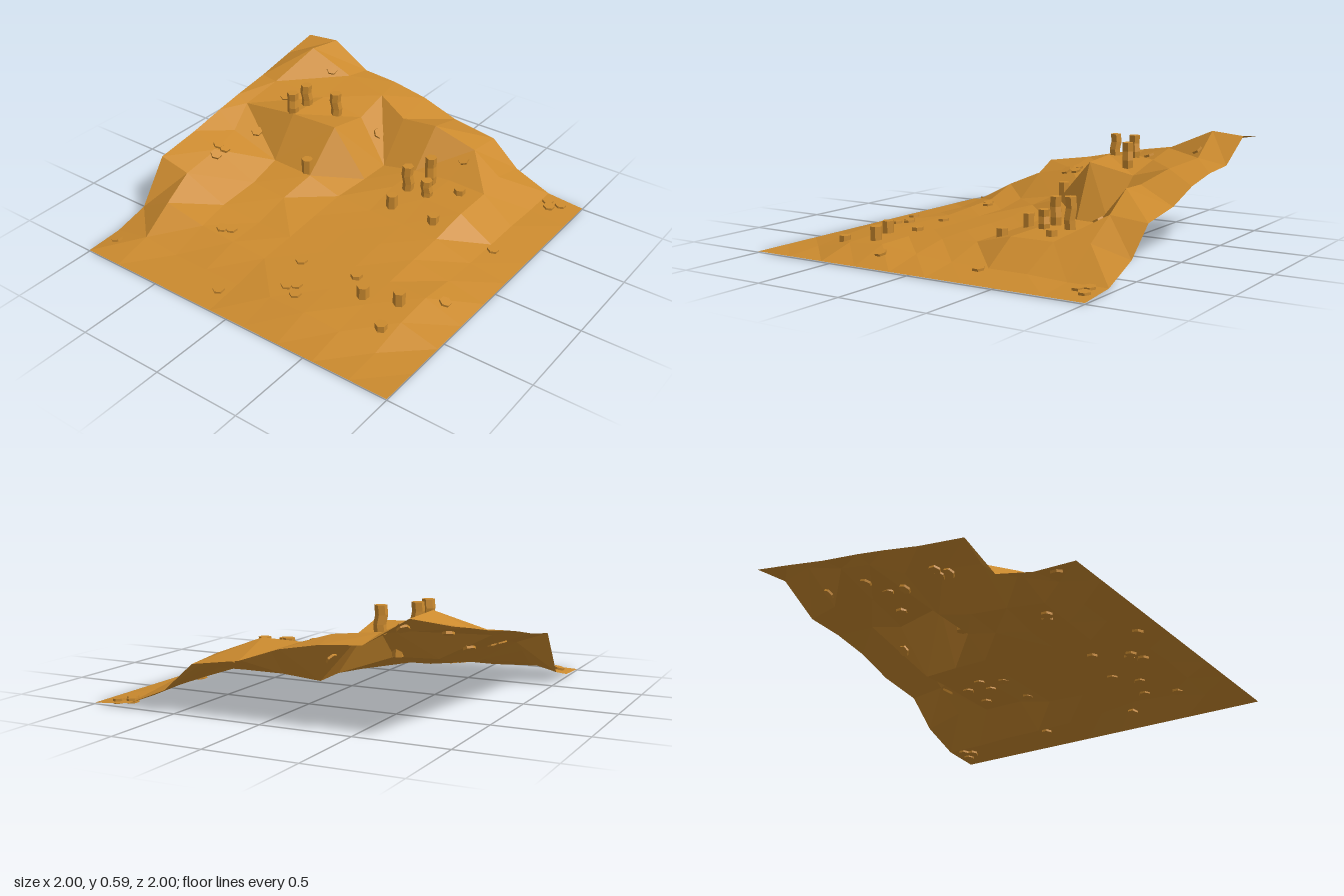
import * as THREE from 'three';

const sand = new THREE.MeshStandardMaterial({ color: 0xcb8a2e, flatShading: true, side: THREE.DoubleSide });
sand.name = 'sand';

// Height grid: rows run back to front, columns from -x to +x
const N = 10;
const heights = [
  [.55, .57, .43, .415, .375, .3, .26, .11, .02, 0],
  [.51, .585, .46, .43, .365, .375, .28, .165, .02, 0],
  [.46, .46, .43, .375, .13, .155, .16, .155, .03, 0],
  [.425, .395, .44, .43, .135, .155, .16, .155, .03, 0],
  [.395, .315, .21, .2, .12, .11, .105, .1, .035, 0],
  [.35, .295, .16, .14, .105, .1, .1, .09, .05, 0],
  [.31, .25, .12, .09, .085, .08, .08, .08, .075, 0],
  [.06, .165, .1, .085, .07, .07, .07, .07, .06, 0],
  [.01, .055, .03, .03, .03, .05, .055, .04, .015, 0],
  [0, 0, 0, 0, 0, 0, 0, 0, 0, 0],
];

// Cliff corners pulled off the regular grid: 'row,column': [x, z]
const shifted = {
  '0,1': [-.79, -1], '0,6': [.385, -1],
  '1,1': [-.82, -.8], '1,2': [-.56, -.83], '1,3': [-.285, -.785], '1,4': [-.08, -.72],
  '1,5': [.13, -.745], '1,6': [.38, -.785],
  '2,0': [-1, -.52], '2,1': [-.88, -.5], '2,3': [-.285, -.57], '2,4': [-.085, -.53],
  '2,5': [.12, -.56], '2,6': [.34, -.58], '2,7': [.575, -.58],
  '3,0': [-1, -.28], '3,1': [-.92, -.27], '3,2': [-.56, -.27], '3,3': [-.28, -.3],
  '3,4': [-.085, -.33], '3,7': [.575, -.33],
  '4,1': [-.86, -.08], '4,2': [-.56, -.09], '4,3': [-.3, -.09],
  '5,1': [-.82, .13], '6,0': [-1, .39], '6,1': [-.83, .37], '6,2': [-.58, .35],
  '7,0': [-1, .57], '7,1': [-.8, .57],
};

// Cells folded along the other diagonal
const folded = new Set(['1,3', '1,6', '3,1', '5,3', '7,0', '7,4']);

function point(r, c) {
  const [x, z] = shifted[`${r},${c}`] ?? [-1 + 2 * c / (N - 1), -1 + 2 * r / (N - 1)];
  return new THREE.Vector3(x, heights[r][c], z);
}

// Two triangles per grid cell
const triangles = [];
for (let r = 0; r < N - 1; r++) {
  for (let c = 0; c < N - 1; c++) {
    const a = point(r, c), b = point(r + 1, c), d = point(r, c + 1), e = point(r + 1, c + 1);
    if (folded.has(`${r},${c}`)) triangles.push(new THREE.Triangle(a, b, e), new THREE.Triangle(a, e, d));
    else triangles.push(new THREE.Triangle(a, b, d), new THREE.Triangle(b, e, d));
  }
}

// Ground height and normal under a spot
function groundAt(x, z) {
  for (const t of triangles) {
    const flat = [t.a, t.b, t.c].map(p => new THREE.Vector3(p.x, 0, p.z));
    const w = THREE.Triangle.getBarycoord(new THREE.Vector3(x, 0, z), ...flat, new THREE.Vector3());
    if (w && Math.min(w.x, w.y, w.z) >= -1e-6) {
      return { y: w.x * t.a.y + w.y * t.b.y + w.z * t.c.y, normal: t.getNormal(new THREE.Vector3()) };
    }
  }
  return { y: 0, normal: new THREE.Vector3(0, 1, 0) };
}

// Upright six-sided pillars: x, z, height of the top
const pillars = [
  [-.58, -.425, .56], [-.585, -.3, .56], [-.4, -.475, .54], [-.33, -.105, .295],
  [.195, -.365, .31], [.265, -.495, .33], [.32, -.37, .26], [.2, -.2, .205],
  [.46, -.5, .19], [.47, -.21, .17], [.51, .51, .14], [.69, .445, .145],
  [.715, .64, .08], [.39, .4, .095],
];

// Low six-sided stones lying on the slope: x, z
const stones = [
  [-.66, -.78], [-.19, -.615], [.355, -.71], [-.75, -.435], [-.755, -.16], [.81, -.295],
  [.815, -.92], [.89, -.935], [.845, -.875], [-.835, .09], [-.795, .085], [-.8, .155],
  [-.455, .505], [-.41, .48], [.07, .46], [.13, .66], [.17, .63], [.21, .69],
  [.86, .275], [-.93, .855], [-.17, .86],
];

export function createModel() {
  const model = new THREE.Group();

  // Faceted hillside
  const hill = new THREE.BufferGeometry().setFromPoints(triangles.flatMap(t => [t.a, t.b, t.c]));
  hill.computeVertexNormals();
  const terrain = new THREE.Mesh(hill, sand);
  terrain.name = 'terrain';
  model.add(terrain);

  // Pillars, the taller ones slightly kinked along their height
  pillars.forEach(([x, z, top], i) => {
    const base = groundAt(x, z).y - .01;
    const h = Math.max(top - base, .03);
    const geometry = new THREE.CylinderGeometry(.033, .033, h, 6, 3);
    const p = geometry.attributes.position;
    if (h > .09) {
      for (let k = 0; k < p.count; k++) {
        const kink = Math.sin((p.getY(k) / h + .5) * Math.PI * 2) * .004;
        p.setX(k, p.getX(k) + kink);
        p.setZ(k, p.getZ(k) + kink * (i % 2 ? 1 : -1));
      }
      geometry.computeVertexNormals();
    }
    const pillar = new THREE.Mesh(geometry, sand);
    pillar.name = 'pillar';
    pillar.position.set(x, base + h / 2, z);
    model.add(pillar);
  });

  // Stones tilted to follow the ground
  const stoneShape = new THREE.CylinderGeometry(.033, .033, .026, 6);
  const up = new THREE.Vector3(0, 1, 0);
  stones.forEach(([x, z]) => {
    const { y, normal } = groundAt(x, z);
    const stone = new THREE.Mesh(stoneShape, sand);
    stone.name = 'stone';
    stone.quaternion.setFromUnitVectors(up, normal);
    stone.position.set(x, y, z);
    model.add(stone);
  });

  return model;
}
